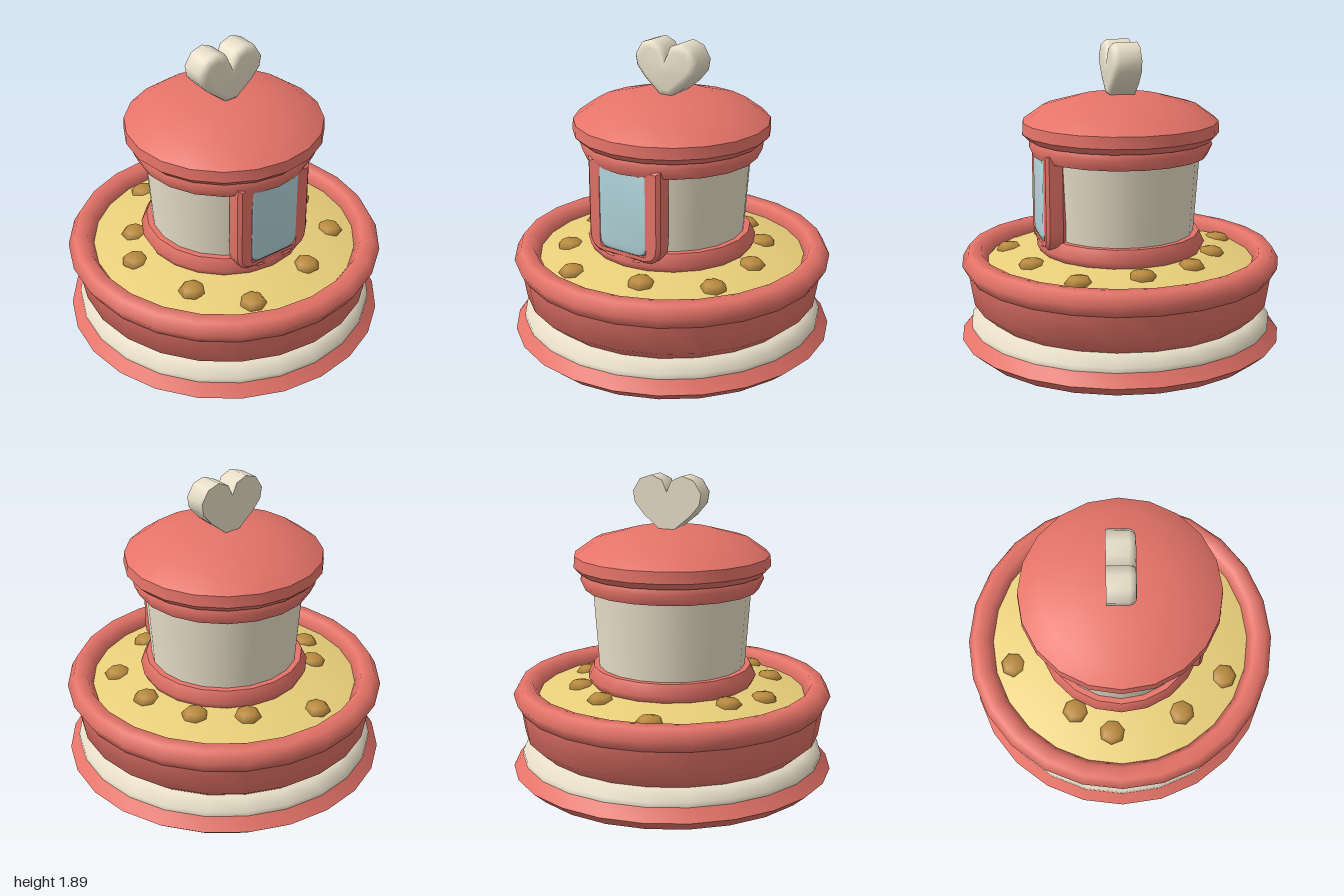
import * as THREE from 'three';
import { toCreasedNormals } from 'three/addons/utils/BufferGeometryUtils.js';

const material = (color) => new THREE.MeshStandardMaterial({ color });
const RED = material(0xe57368), CREAM = material(0xe8dec8), YELLOW = material(0xe9cf7a);
const BROWN = material(0xb98a3e), BLUE = material(0xb0d3da);

export function createModel() {
  const model = new THREE.Group();

  const add = (name, geometry, mat, x = 0, y = 0, z = 0) => {
    const mesh = new THREE.Mesh(geometry, mat);
    mesh.name = name;
    mesh.position.set(x, y, z);
    model.add(mesh);
    return mesh;
  };
  // Turned part from [radius, height] pairs, bottom to top
  const turned = (name, profile, segments, mat, crease = 0.75) => {
    const points = profile.map(([r, y]) => new THREE.Vector2(r, y));
    return add(name, toCreasedNormals(new THREE.LatheGeometry(points, segments), crease), mat);
  };
  // Panel outline: square top, rounded lower corners
  const panel = (w, bottom, top, r, Type = THREE.Shape) => {
    const s = new Type();
    s.moveTo(-w, top);
    s.lineTo(-w, bottom + r);
    s.quadraticCurveTo(-w, bottom, -w + r, bottom);
    s.lineTo(w - r, bottom);
    s.quadraticCurveTo(w, bottom, w, bottom + r);
    s.lineTo(w, top);
    s.closePath();
    return s;
  };
  const extrude = (shape, depth, bevel, curveSegments, bevelSegments = 1) =>
    new THREE.ExtrudeGeometry(shape, {
      depth, curveSegments, bevelEnabled: bevel > 0, bevelThickness: bevel,
      bevelSize: bevel, bevelOffset: -bevel, bevelSegments,
    });

  // Base and bowl
  turned('basePlate', [[0, 0], [0.92, 0], [1, 0.07], [0.94, 0.14], [0, 0.14]], 24, RED);
  turned('creamBand', [[0.9, 0.13], [0.94, 0.14], [0.94, 0.17], [0.87, 0.22], [0, 0.22]], 24, CREAM, 1);
  turned('bowl', [[0, 0.22], [0.84, 0.22], [0.92, 0.29], [0.95, 0.48], [0.88, 0.54]], 24, RED);
  const rim = add('bowlRim', new THREE.TorusGeometry(0.91, 0.08, 6, 24), RED, 0, 0.54, 0);
  rim.rotation.x = -Math.PI / 2;

  // Domed food bed with scattered kibble
  const foodHeight = (r) => 0.65 - 0.165 * r * r;
  const bed = [0.86, 0.78, 0.7, 0.6, 0.5, 0.4, 0].map((r) => [r, foodHeight(r)]);
  turned('foodBed', bed, 24, YELLOW);
  const kibble = new THREE.SphereGeometry(0.085, 7, 4);
  [[-0.17, -0.69], [-0.49, -0.29], [-0.63, -0.06], [-0.51, 0.38], [-0.27, 0.66],
    [0.19, 0.59], [0.555, 0.38], [0.59, 0.01], [0.47, -0.32], [0.23, -0.52]].forEach(([x, z], i) => {
    const k = add('kibble', kibble, BROWN, x, foodHeight(Math.hypot(x, z)) - 0.008, z);
    k.scale.y = 0.55;
    k.rotation.y = i * 1.3;
  });

  // Tower, its rings and the domed lid
  turned('towerFoot', [[0.47, 0.58], [0.505, 0.61], [0.525, 0.65], [0.49, 0.72], [0.42, 0.72]], 20, RED, 1);
  turned('tower', [[0.45, 0.6], [0.455, 0.72], [0.488, 1.2], [0.49, 1.27]], 20, CREAM);
  turned('towerCollar', [[0.45, 1.2], [0.535, 1.2], [0.565, 1.265], [0.55, 1.3], [0.45, 1.31]], 20, RED, 1);
  turned('lid', [[0, 1.3], [0.565, 1.3], [0.605, 1.34], [0.6, 1.41], [0.48, 1.495],
    [0.26, 1.555], [0, 1.575]], 20, RED);

  // Window frame, glass and the food showing behind it
  const frame = panel(0.26, 0.66, 1.25, 0.12);
  frame.holes.push(panel(0.15, 0.68, 1.24, 0.07, THREE.Path));
  const frameGeometry = extrude(frame, 0.08, 0.02, 4);
  add('windowFrame', toCreasedNormals(frameGeometry, 0.5), RED, 0, 0, 0.41);
  add('windowGlass', toCreasedNormals(extrude(panel(0.172, 0.7, 1.24, 0.07), 0.07, 0.02, 4, 2), 0.7),
    BLUE, 0, 0, 0.425);

  const food = panel(0.145, 0.73, 0.98, 0.05);
  food.curves.length = 0;
  food.moveTo(-0.145, 0.97);
  food.lineTo(-0.145, 0.78);
  food.quadraticCurveTo(-0.145, 0.73, -0.095, 0.73);
  food.lineTo(0.095, 0.73);
  food.quadraticCurveTo(0.145, 0.73, 0.145, 0.78);
  food.lineTo(0.145, 0.97);
  food.quadraticCurveTo(0.145, 1.02, 0.095, 1.02);
  food.lineTo(-0.095, 1.02);
  food.quadraticCurveTo(-0.145, 1.02, -0.145, 0.97);
  add('windowFood', extrude(food, 0.04, 0, 4), YELLOW, 0, 0, 0.459);

  // Heart finial: rounded front, flat back
  const half = [[0.04, 1.56], [0.15, 1.65], [0.21, 1.72], [0.222, 1.79], [0.175, 1.865], [0.1, 1.89], [0.03, 1.86]];
  const outline = [...half, [0, 1.79], ...half.map(([x, y]) => [-x, y]).reverse()];
  const heart = extrude(new THREE.Shape(outline.map(([x, y]) => new THREE.Vector2(x, y))), 0.13, 0.04, 4, 3);
  const p = heart.attributes.position;
  for (let i = 0; i < p.count; i++) p.setZ(i, Math.max(p.getZ(i), 0));
  add('heartFinial', toCreasedNormals(heart, 0.9), CREAM, 0, 0, -0.08);

  return model;
}
